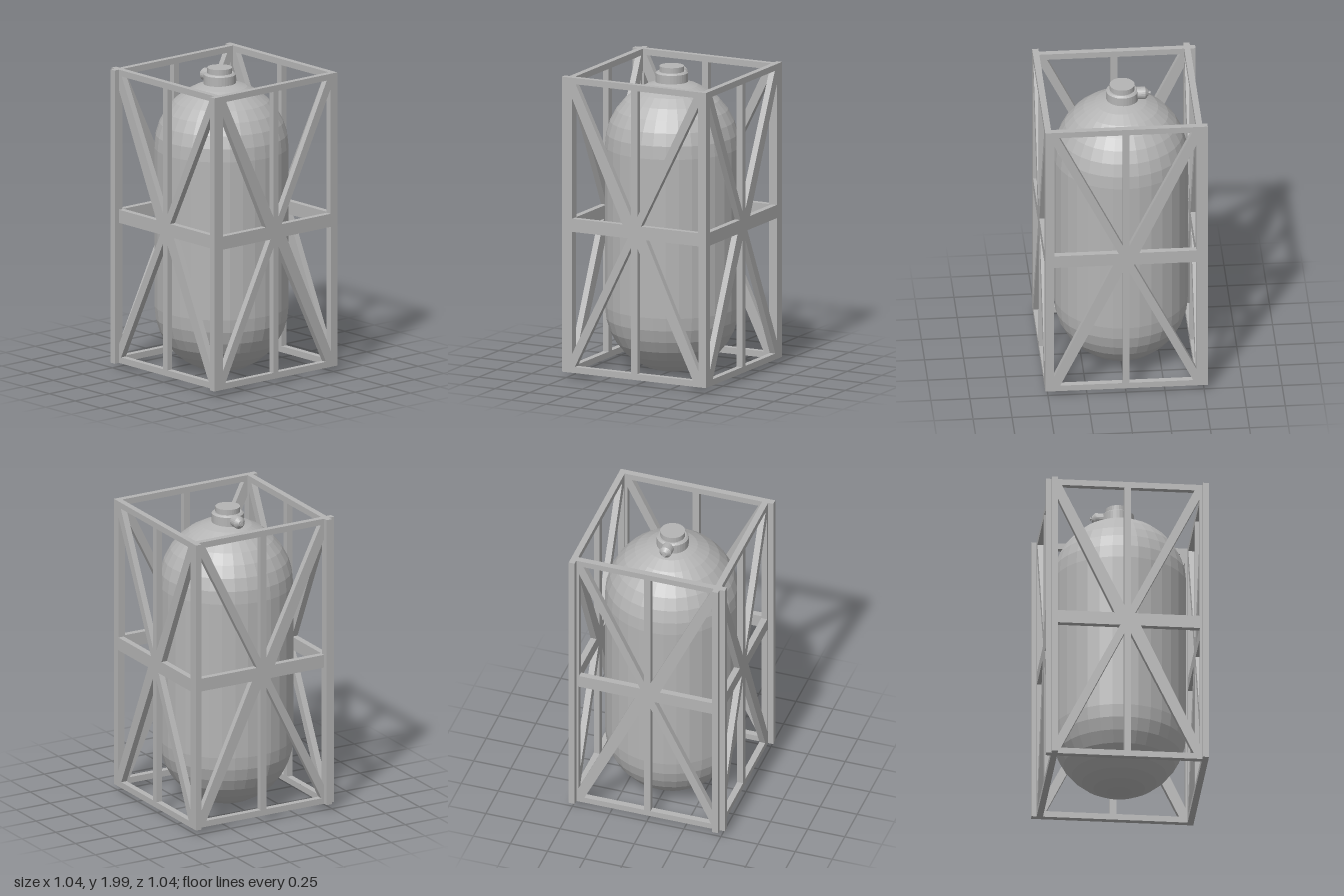
import * as THREE from 'three';

const steel = new THREE.MeshStandardMaterial({ color: 0xb4b4b4 });
steel.name = 'grey steel';

// Faceted surface of revolution from [radius, y] points, bottom to top
function turned(name, points, sides) {
  const profile = points.map(([r, y]) => new THREE.Vector2(r, y));
  const geometry = new THREE.LatheGeometry(profile, sides).toNonIndexed();
  geometry.computeVertexNormals();
  const mesh = new THREE.Mesh(geometry, steel);
  mesh.name = name;
  return mesh;
}

// Braced frame panel: a plate with eight triangular windows
function panelGeometry() {
  const midY = 1.015;
  const toPath = (Type, pts, s = 1) =>
    new Type(pts.map(([x, y]) => new THREE.Vector2(s * x, midY + s * y)));
  const plate = toPath(THREE.Shape, [[-0.523, -0.965], [0.518, -0.965], [0.518, 0.965], [-0.523, 0.965]]);
  const windows = [
    [[-0.463, 0.043], [-0.085, 0.043], [-0.463, 0.86]],
    [[-0.022, 0.101], [-0.022, 0.925], [-0.423, 0.925]],
    [[0.46, 0.043], [0.048, 0.043], [0.46, 0.863]],
    [[0.022, 0.101], [0.022, 0.925], [0.429, 0.925]],
  ];
  // The lower half is the upper half turned by 180 degrees
  for (const s of [1, -1]) for (const w of windows) plate.holes.push(toPath(THREE.Path, w, s));
  return new THREE.ExtrudeGeometry(plate, { depth: 0.04, bevelEnabled: false });
}

export function createModel() {
  const model = new THREE.Group();
  model.name = 'framedTank';

  // Frame of four overlapping panels
  const frame = new THREE.Group();
  frame.name = 'frame';
  const panel = panelGeometry();
  const sidePanel = panel.clone().rotateY(-Math.PI / 2);
  const addPanel = (name, geometry, x, z) => {
    const mesh = new THREE.Mesh(geometry, steel);
    mesh.name = name;
    mesh.position.set(x, 0, z);
    frame.add(mesh);
  };
  addPanel('frontPanel', panel, 0, 0.478);
  addPanel('backPanel', panel, 0, -0.49);
  addPanel('leftPanel', sidePanel, 0.518, 0);
  addPanel('rightPanel', sidePanel, -0.448, 0);
  model.add(frame);

  // Tank: cylinder with round ends
  const radius = 0.43, steps = 8, profile = [];
  for (const [centre, from] of [[0.44, -Math.PI / 2], [1.48, 0]]) {
    for (let i = 0; i <= steps; i++) {
      const a = from + (i / steps) * Math.PI / 2;
      profile.push([Math.max(0, radius * Math.cos(a)), centre + radius * Math.sin(a)]);
    }
  }
  const tank = turned('tank', profile, 32);
  tank.position.set(-0.005, 0, -0.008);
  model.add(tank);

  // Neck and cap
  const neck = turned('neckAndCap', [
    [0.103, 1.86], [0.103, 1.955], [0.09, 1.965], [0.08, 1.965], [0.08, 2], [0, 2],
  ], 32);
  neck.position.set(-0.012, 0, -0.017);
  model.add(neck);

  // Valve on the back of the neck
  const valve = turned('valve', [
    [0.03, 0], [0.03, 0.025], [0.04, 0.028], [0.04, 0.082], [0.017, 0.103],
    [0.006, 0.103], [0.006, 0.11], [0.012, 0.11], [0.012, 0.115], [0, 0.115],
  ], 20);
  valve.rotation.x = -Math.PI / 2;
  valve.position.set(-0.012, 1.93, -0.082);
  model.add(valve);

  return model;
}
